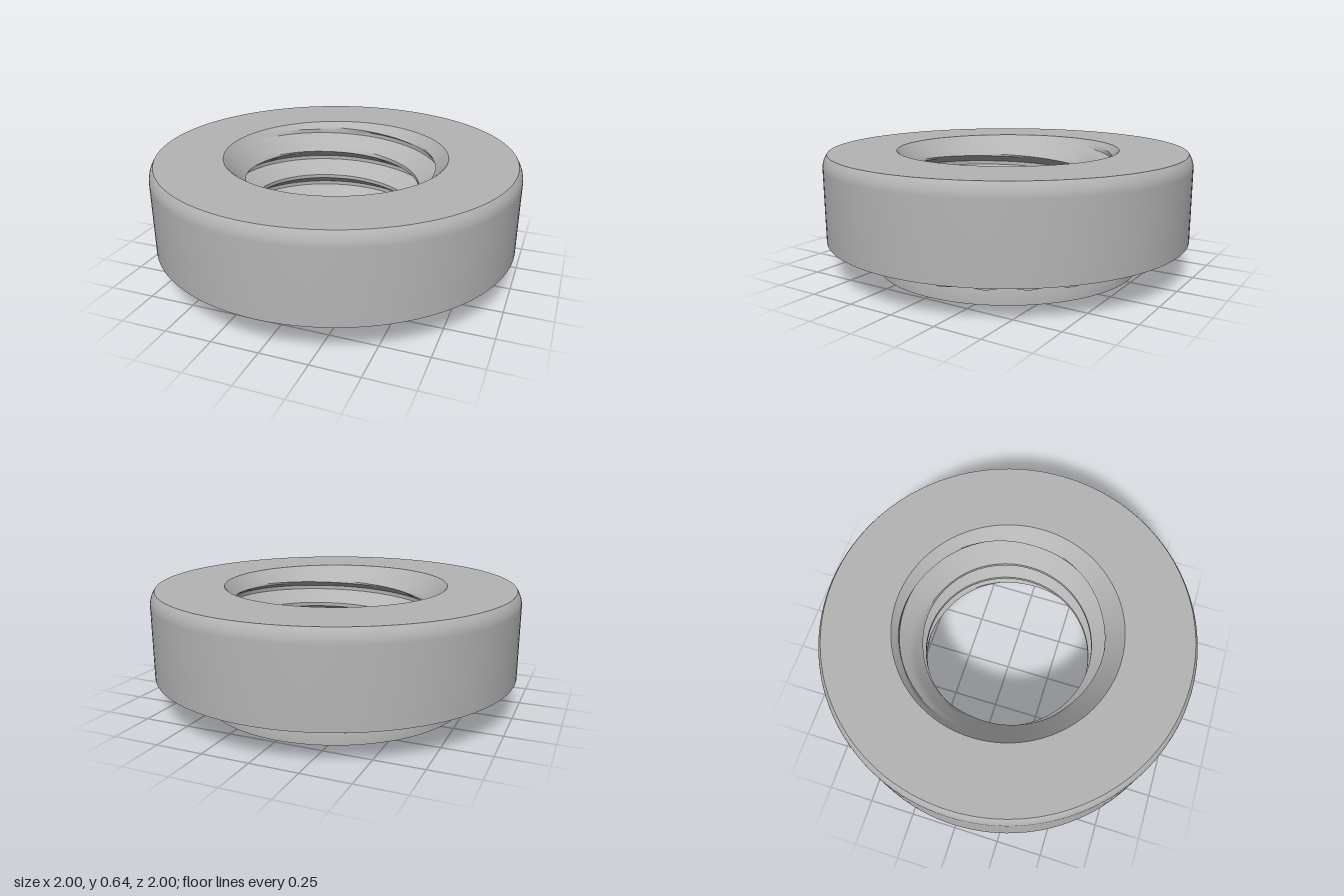
import * as THREE from 'three';
import { toCreasedNormals } from 'three/addons/utils/BufferGeometryUtils.js';

const HEIGHT = 0.645;
const steel = new THREE.MeshStandardMaterial({ color: 0xb4b4b4 });
steel.name = 'steel grey';

function part(name, geometry, crease = 0.5) {
  const mesh = new THREE.Mesh(toCreasedNormals(geometry, crease), steel);
  mesh.name = name;
  return mesh;
}

function lathe(points) {
  return new THREE.LatheGeometry(points.map(([r, y]) => new THREE.Vector2(r, y)), 128);
}

// Thick outer collar with a rounded top edge
function collar() {
  const fillet = new THREE.QuadraticBezierCurve(
    new THREE.Vector2(1, 0.57), new THREE.Vector2(1, 0.61), new THREE.Vector2(0.975, HEIGHT));
  const edge = fillet.getPoints(8).map((p) => [p.x, p.y]);
  return lathe([[0.68, 0.18], [1, 0.18], ...edge, [0.61, HEIGHT]]);
}

// Wavy ring of teeth below the collar, its underside sloping up outwards
function knurl() {
  const teeth = 28, steps = teeth * 12, points = [];
  for (let i = 0; i < steps; i++) {
    const a = (i / steps) * Math.PI * 2;
    const r = 0.868 + 0.031 * Math.cos(a * teeth);
    points.push(new THREE.Vector2(r * Math.cos(a), r * Math.sin(a)));
  }
  const shape = new THREE.Shape(points);
  shape.holes.push(new THREE.Path().absarc(0, 0, 0.68, 0, Math.PI * 2, true));
  const geometry = new THREE.ExtrudeGeometry(shape, { depth: 0.055, bevelEnabled: false, curveSegments: 64 });
  geometry.rotateX(-Math.PI / 2).translate(0, 0.125, 0);
  const pos = geometry.attributes.position;
  for (let i = 0; i < pos.count; i++) {
    const r = Math.hypot(pos.getX(i), pos.getZ(i));
    if (pos.getY(i) < 0.15) pos.setY(i, 0.125 + Math.max(0, r - 0.83) * 0.15);
  }
  return geometry;
}

// Bore: right-hand helical V groove, opened by a countersink at each end
function threadedBore() {
  const pitch = 0.173, minor = 0.46, major = 0.575, cols = 128;
  const rootHalf = 0.011, openHalf = 0.076, centre = 0.538, flankSteps = 6;

  // One turn of the groove as [height offset, radius]
  const profile = [];
  for (let i = 0; i <= flankSteps; i++) {
    const f = i / flankSteps;
    profile.push([THREE.MathUtils.lerp(-openHalf, -rootHalf, f), THREE.MathUtils.lerp(minor, major, f)]);
  }
  profile.push(...profile.map(([t, r]) => [-t, r]).reverse());

  const rows = [];
  for (let k = -5; k <= 1; k++) {
    for (const [t, r] of profile) rows.push([centre + k * pitch + t, r]);
  }

  const positions = [], index = [];
  rows.forEach(([y0, threadR], j) => {
    for (let i = 0; i <= cols; i++) {
      const a = (i / cols) * Math.PI * 2;
      const y = THREE.MathUtils.clamp(y0 + (pitch * i) / cols, 0, HEIGHT);
      const atEnd = y === 0 || y === HEIGHT;
      const countersink = Math.max(0.61 - (HEIGHT - y), 0.64 - y);
      const r = atEnd ? countersink : Math.max(threadR, countersink);
      positions.push(r * Math.cos(a), y, -r * Math.sin(a));
      if (j < rows.length - 1 && i < cols) {
        const p = j * (cols + 1) + i, q = p + cols + 1;
        index.push(p, q, p + 1, p + 1, q, q + 1);
      }
    }
  });
  const geometry = new THREE.BufferGeometry();
  geometry.setAttribute('position', new THREE.Float32BufferAttribute(positions, 3));
  geometry.setIndex(index);
  return geometry;
}

export function createModel() {
  const group = new THREE.Group();
  group.name = 'clinchNut';
  group.add(
    part('collar', collar()),
    part('knurledRing', knurl(), 0.6),
    // Short shank, narrowing to an undercut below the teeth
    part('shank', lathe([[0.64, 0], [0.73, 0], [0.73, 0.075], [0.722, 0.1], [0.705, 0.13]])),
    part('threadedBore', threadedBore()),
  );
  return group;
}
